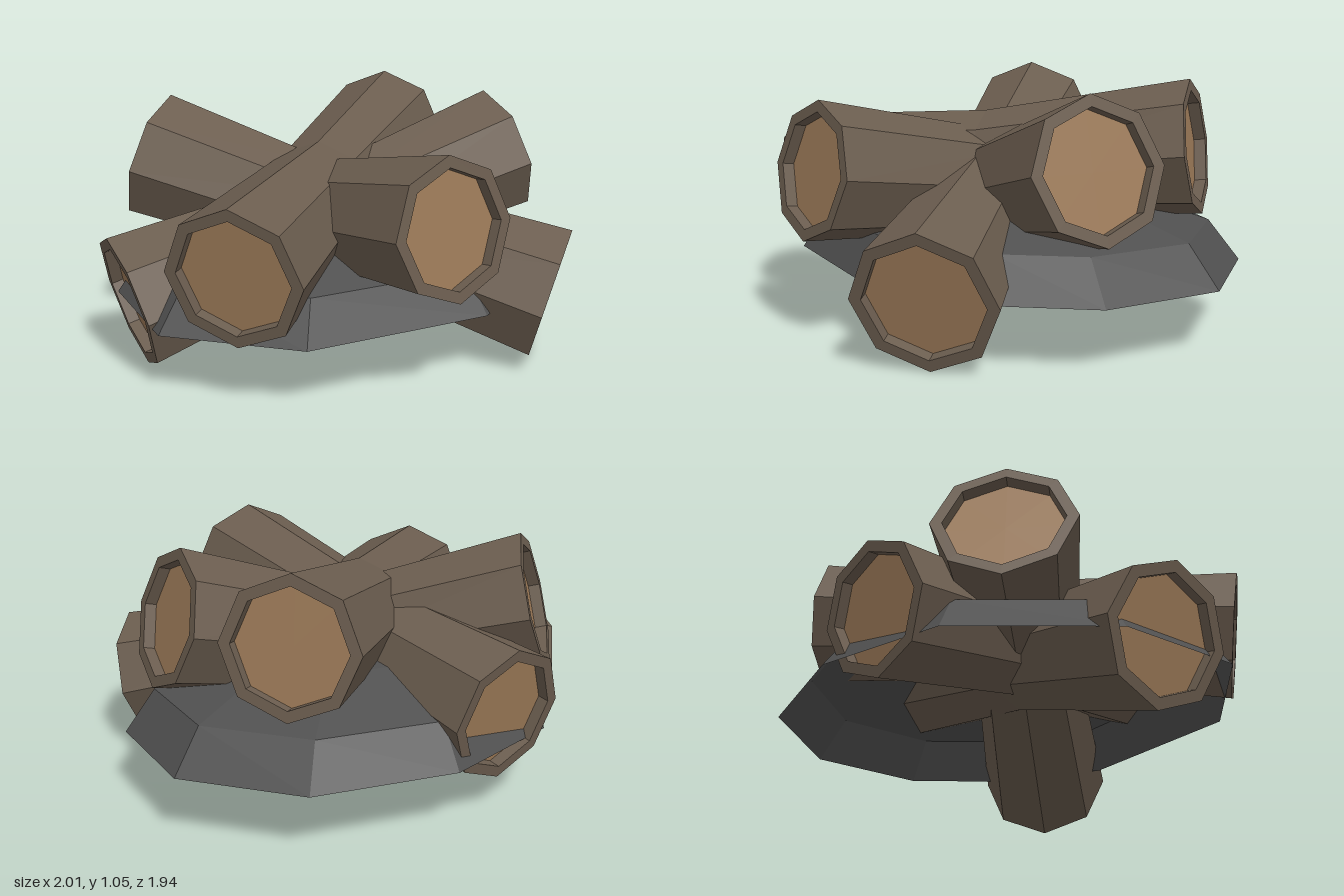
import * as THREE from 'three';

const bark = new THREE.MeshStandardMaterial({ color: 0x6b5d4f, flatShading: true });
const cutWood = new THREE.MeshStandardMaterial({ color: 0x9c7a58, flatShading: true });
const ashGrey = new THREE.MeshStandardMaterial({ color: 0x505050, flatShading: true, side: THREE.DoubleSide });

const lathe = (points) => new THREE.LatheGeometry(points.map(([r, y]) => new THREE.Vector2(r, y)), 8);

// Eight-sided log between two end centres, pinched at the middle, with recessed cut ends
function makeLog(name, from, to, radius, waist) {
  const a = new THREE.Vector3(...from), b = new THREE.Vector3(...to);
  const h = a.distanceTo(b) / 2, inner = radius * 0.83, floor = h - 0.05;
  const log = new THREE.Group();
  log.name = name;

  const body = new THREE.Mesh(lathe([
    [inner, -floor], [inner, -h], [radius, -h], [waist, 0], [radius, h], [inner, h], [inner, floor],
  ]), bark);
  body.name = 'bark';
  const startCut = new THREE.Mesh(lathe([[0, -floor], [inner, -floor]]), cutWood);
  startCut.name = 'startCut';
  const endCut = new THREE.Mesh(lathe([[inner, floor], [0, floor]]), cutWood);
  endCut.name = 'endCut';
  log.add(body, startCut, endCut);

  // Lay the log along its axis with one ridge facing up
  const axis = b.clone().sub(a).normalize();
  const up = new THREE.Vector3(0, 1, 0).addScaledVector(axis, -axis.y).normalize();
  const side = axis.clone().cross(up);
  log.quaternion.setFromRotationMatrix(new THREE.Matrix4().makeBasis(side, axis, up));
  log.position.copy(a).add(b).multiplyScalar(0.5);
  return log;
}

// Low, open-bottomed ash mound: an uneven outline shrunk ring by ring
function makeAsh() {
  const outline = [
    [0.99, -0.2], [0.83, -0.7], [0.36, -0.97], [-0.24, -0.89], [-0.72, -0.55],
    [-0.945, 0.1], [-0.78, 0.63], [-0.23, 0.87], [0.54, 0.62], [0.86, 0.2],
  ];
  const rings = [[1, 0.27], [0.87, 0.44], [0.5, 0.56], [0, 0.61]];
  const n = outline.length, positions = [], index = [];
  for (const [s, y] of rings) for (const [x, z] of outline) positions.push(x * s, y, z * s);
  for (let r = 0; r < rings.length - 1; r++) {
    for (let i = 0; i < n; i++) {
      const j = (i + 1) % n, p = r * n, q = p + n;
      index.push(p + i, p + j, q + i);
      if (r < rings.length - 2) index.push(p + j, q + j, q + i);
    }
  }
  const geometry = new THREE.BufferGeometry();
  geometry.setAttribute('position', new THREE.Float32BufferAttribute(positions, 3));
  geometry.setIndex(index);
  geometry.computeVertexNormals();
  const ash = new THREE.Mesh(geometry, ashGrey);
  ash.name = 'ashMound';
  return ash;
}

export function createModel() {
  const model = new THREE.Group();
  model.name = 'logPile';
  model.add(
    makeLog('topLog', [-0.5, 0.55, 0.82], [0.39, 0.77, -0.75], 0.285, 0.23),
    makeLog('frontLog', [0.335, 0.71, 0.84], [-0.48, 0.43, -0.75], 0.285, 0.23),
    makeLog('leftLowLog', [0.86, 0.29, 0.46], [-0.75, 0.76, -0.31], 0.295, 0.23),
    makeLog('rightLowLog', [-0.9, 0.29, 0.29], [0.8, 0.755, -0.22], 0.295, 0.23),
    makeAsh(),
  );
  return model;
}
